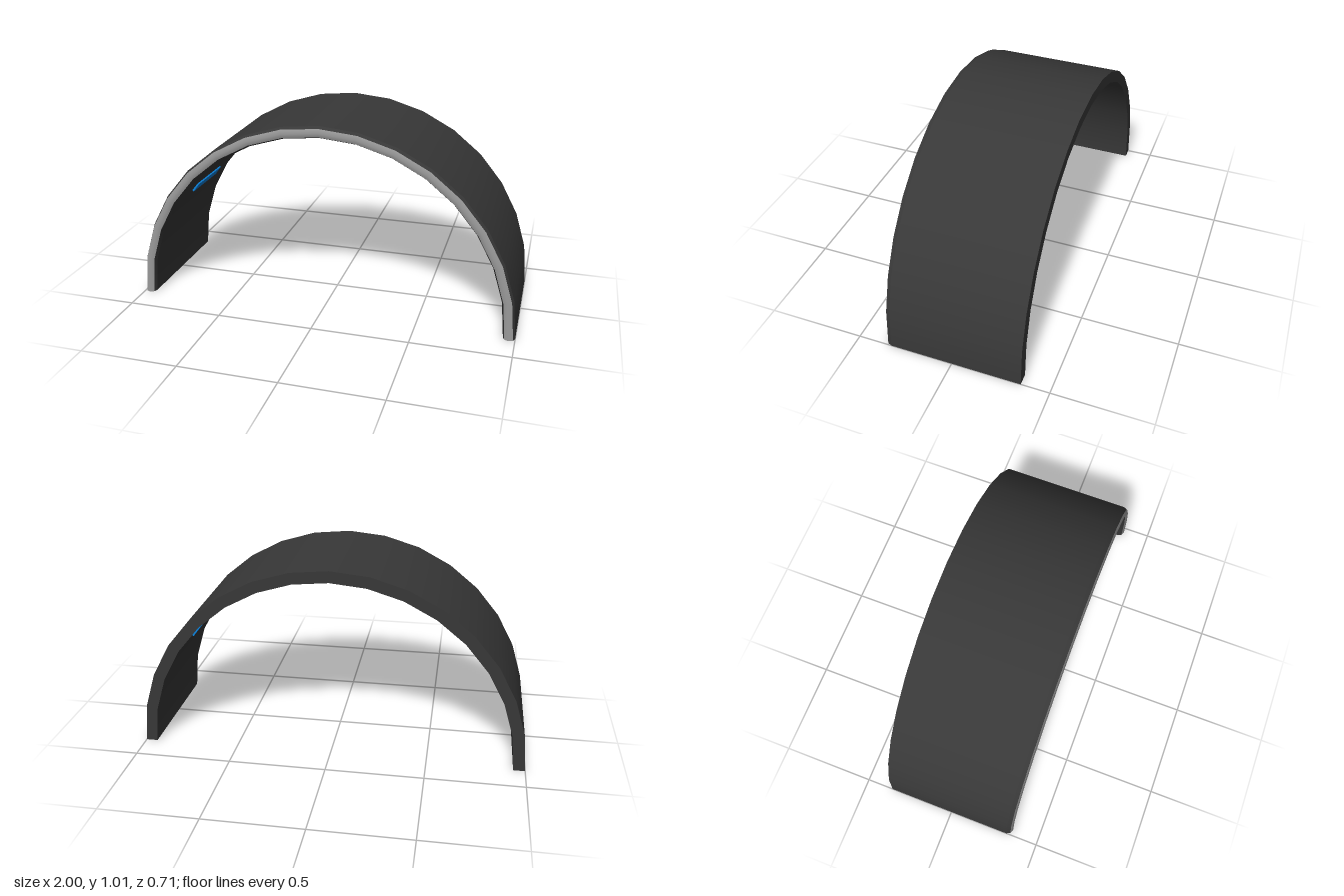
import * as THREE from 'three';
import { mergeGeometries } from 'three/addons/utils/BufferGeometryUtils.js';

const MID = 0.97, HALF = 0.03;        // middle radius and half thickness of the arch wall
const BACK = -0.355, FRONT = 0.355;
const LIFT = 0.01;                    // short straight run at the feet
const C = HALF * Math.SQRT1_2;

const material = (color) => new THREE.MeshStandardMaterial({ color });

// Sweep a run of [radius, z] points along the half circle; each run is smooth in itself
function sweep(points) {
  const g = new THREE.LatheGeometry(points.map(([r, z]) => new THREE.Vector2(r, z)), 16, Math.PI / 2, Math.PI);
  g.rotateX(Math.PI / 2);
  const p = g.attributes.position;
  for (let i = 0; i < p.count; i++) {
    const y = p.getY(i);
    p.setY(i, y < 1e-4 ? 0 : y + LIFT);
  }
  return g;
}

export function createModel() {
  const group = new THREE.Group();
  group.name = 'archedBand';
  const add = (name, geometry, mat) => {
    const mesh = new THREE.Mesh(geometry, mat);
    mesh.name = name;
    group.add(mesh);
    return mesh;
  };
  const dark = material(0x383838), grey = material(0x999999), blue = material(0x0a84e0);

  // Wall section: outer side, rounded front, inner side, flat back
  const outer = MID + HALF, inner = MID - HALF;
  const zc = FRONT - HALF, zl = zc + C;
  const outerRun = [[outer, BACK], [outer, zc]];
  const outerBevel = [[outer, zc], [MID + C, zl]];
  const lipRun = [[MID + C, zl], [MID, FRONT], [MID - C, zl]];
  const innerBevel = [[MID - C, zl], [inner, zc]];
  const innerRun = [[inner, zc], [inner, BACK]];
  const backRun = [[inner, BACK], [outer, BACK]];

  add('shell', mergeGeometries([outerRun, outerBevel, innerBevel, innerRun, backRun].map(sweep)), dark);
  add('frontLip', sweep(lipRun), grey);

  // Flat soles closing both ends of the arch
  const section = new THREE.Shape([
    [outer, BACK], [outer, zc], [MID + C, zl], [MID, FRONT],
    [MID - C, zl], [inner, zc], [inner, BACK],
  ].map(([r, z]) => new THREE.Vector2(r, z)));
  for (const [name, shift] of [['leftFoot', 0], ['rightFoot', -2 * MID]]) {
    add(name, new THREE.ShapeGeometry(section).rotateX(Math.PI / 2).translate(shift, 0, 0), dark);
  }

  // Four slim strips set into the inside of the arch
  for (let i = 1; i <= 4; i++) {
    const a = (i * Math.PI) / 5;
    const strip = add('innerStrip' + i, new THREE.BoxGeometry(0.03, 0.055, 0.3), blue);
    strip.position.set(0.943 * Math.cos(a), 0.943 * Math.sin(a) + LIFT, 0);
    strip.rotation.z = a;
  }
  return group;
}
